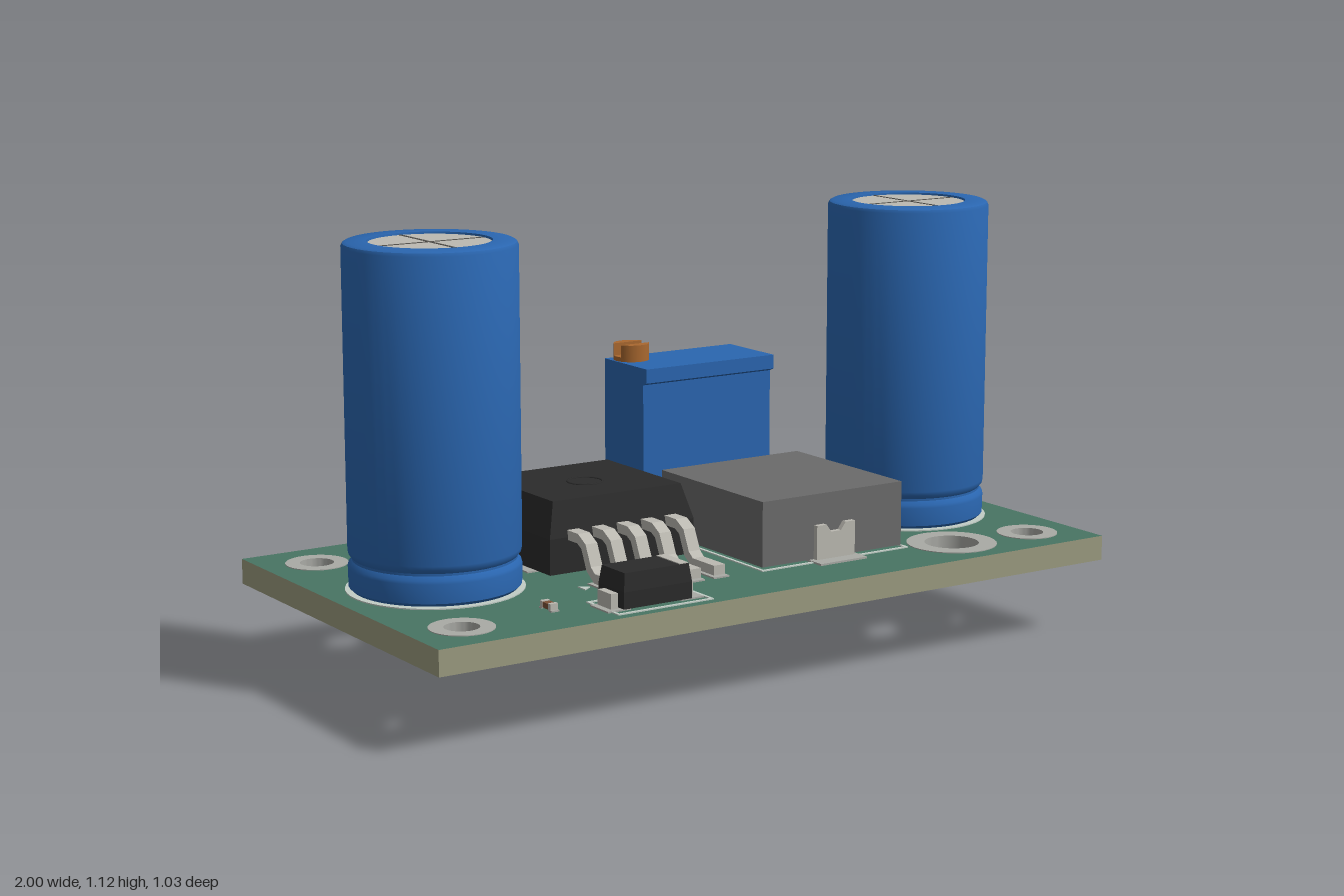
import * as THREE from 'three';
import { toCreasedNormals } from 'three/addons/utils/BufferGeometryUtils.js';

const mat = (color, side = THREE.FrontSide) =>
  new THREE.MeshStandardMaterial({ color, side });
const GREEN = mat(0x487563), EDGE = mat(0x9c9c80), BLUE = mat(0x2a66b0), BLACK = mat(0x2b2b2b);
const METAL = mat(0xbcbab2), PAD = mat(0xa9aaa5, THREE.DoubleSide), SILK = mat(0xc2cdc6);
const GREY = mat(0x6b6b6b), COPPER = mat(0xa9682f), DARK = mat(0x55534e), BROWN = mat(0x7c5238);
const TOP = 0.26, BOTTOM = 0.195;

export function createModel() {
  const model = new THREE.Group();

  const add = (name, geometry, material, parent = model) => {
    const mesh = new THREE.Mesh(geometry, material);
    mesh.name = name;
    parent.add(mesh);
    return mesh;
  };
  const group = (name) => {
    const g = new THREE.Group();
    g.name = name;
    model.add(g);
    return g;
  };
  // Box given by its limits on each axis
  const box = (name, [x0, x1], [y0, y1], [z0, z1], material, parent) => {
    const g = new THREE.BoxGeometry(x1 - x0, y1 - y0, z1 - z0);
    g.translate((x0 + x1) / 2, (y0 + y1) / 2, (z0 + z1) / 2);
    return add(name, g, material, parent);
  };
  // Box whose top face is drawn in by an inset
  const taperedBox = (name, xs, ys, zs, inset, material, parent) => {
    const mesh = box(name, xs, ys, zs, material, parent);
    const p = mesh.geometry.attributes.position;
    const cx = (xs[0] + xs[1]) / 2, cz = (zs[0] + zs[1]) / 2;
    for (let i = 0; i < p.count; i++) {
      if (p.getY(i) < ys[1] - 1e-4) continue;
      p.setX(i, p.getX(i) - Math.sign(p.getX(i) - cx) * inset);
      p.setZ(i, p.getZ(i) - Math.sign(p.getZ(i) - cz) * inset);
    }
    mesh.geometry.computeVertexNormals();
    return mesh;
  };
  const cylinder = (name, r, y0, y1, x, z, material, parent, sides = 24) =>
    add(name, new THREE.CylinderGeometry(r, r, y1 - y0, sides).translate(x, (y0 + y1) / 2, z), material, parent);
  const lathe = (profile, sides = 48) => toCreasedNormals(
    new THREE.LatheGeometry(profile.map(([r, y]) => new THREE.Vector2(r, y)), sides), 0.6);
  const polygon = (pts) => new THREE.Shape(pts.map(([x, y]) => new THREE.Vector2(x, y)));
  // Horizontal slab from an outline drawn as (x, -z)
  const slab = (shape, y0, y1) =>
    new THREE.ExtrudeGeometry(shape, { depth: y1 - y0, bevelEnabled: false, curveSegments: 24 })
      .rotateX(-Math.PI / 2).translate(0, y0, 0);
  // Side profile (z, y) extruded across x
  const sideExtrude = (shape, cx, width) =>
    new THREE.ExtrudeGeometry(shape, { depth: width, bevelEnabled: false })
      .rotateY(-Math.PI / 2).translate(cx + width / 2, 0, 0);
  const circleHole = (x, z, r) => new THREE.Path().absarc(x, -z, r, 0, Math.PI * 2, true);

  // Board with mounting holes and terminal holes: x, z, hole radius, pad radius
  const holes = [[-0.62, -0.35, 0.073, 0.118], [0.62, 0.355, 0.073, 0.118]];
  for (const x of [-0.86, 0.86]) for (const z of [-0.37, 0.375]) holes.push([x, z, 0.045, 0.08]);
  const outline = polygon([[-1, -0.515], [1, -0.515], [1, 0.515], [-1, 0.515]]);
  for (const [x, z, r] of holes) outline.holes.push(circleHole(x, z, r));
  add('circuitBoard', slab(outline, BOTTOM, TOP), [GREEN, EDGE]);
  for (const [x, z, r, R] of holes) {
    const a = BOTTOM - 0.002, b = TOP + 0.002, i = r - 0.002;
    add('platedHole', lathe([[R, a], [i, a], [i, b], [R, b], [R, a]]), PAD).position.set(x, 0, z);
  }

  // Surface printing
  const silk = group('boardMarkings');
  const frame = (x0, x1, z0, z1, t = 0.008) => {
    const s = polygon([[x0, -z1], [x1, -z1], [x1, -z0], [x0, -z0]]);
    s.holes.push(polygon([[x0 + t, -z1 + t], [x0 + t, -z0 - t], [x1 - t, -z0 - t], [x1 - t, -z1 + t]]));
    add('partOutline', slab(s, TOP, TOP + 0.003), SILK, silk);
  };
  frame(0.036, 0.472, -0.45, -0.222);
  frame(0.028, 0.492, -0.165, 0.335);
  frame(-0.5, -0.225, 0.345, 0.49);
  add('pinOneMark', slab(polygon([[-0.44, -0.21], [-0.44, -0.245], [-0.415, -0.2275]]), TOP, TOP + 0.003), SILK, silk);

  // Direction arrow on the underside
  const arrow = (x0, z0, x1, z1) => {
    const g = new THREE.BoxGeometry(Math.hypot(x1 - x0, z1 - z0) + 0.02, 0.003, 0.032);
    g.rotateY(-Math.atan2(z1 - z0, x1 - x0)).translate((x0 + x1) / 2, BOTTOM - 0.0015, (z0 + z1) / 2);
    add('arrowStroke', g, PAD, silk);
  };
  arrow(-0.27, -0.01, 0.31, -0.01);
  for (const s of [-1, 1]) arrow(0.31, -0.01, 0.22, -0.01 + s * 0.075);

  // Through-hole pin with its pad under the board
  const pin = (x, z, y0, r, parent) => {
    cylinder('pin', r, y0, TOP, x, z, METAL, parent, 16);
    cylinder('pinPad', r * 2.4, BOTTOM - 0.002, BOTTOM + 0.01, x, z, PAD, parent);
  };

  // Two tall can capacitors
  for (const x of [-0.727, 0.73]) {
    const cap = group('canCapacitor');
    const z = 0.01;
    add('sleeve', lathe([[0, 0.264], [0.205, 0.264], [0.213, 0.272], [0.214, 0.32], [0.212, 0.328],
      [0.204, 0.338], [0.204, 0.344], [0.212, 0.354], [0.214, 0.364], [0.214, 1.108], [0.21, 1.116],
      [0.202, 1.12], [0.152, 1.12], [0.15, 1.11], [0, 1.11]]), BLUE, cap).position.set(x, 0, z);
    cylinder('canTop', 0.15, 1.1, 1.115, x, z, METAL, cap, 48);
    box('ventGroove', [x - 0.148, x + 0.148], [1.114, 1.116], [z - 0.004, z + 0.004], DARK, cap);
    box('ventGroove', [x - 0.004, x + 0.004], [1.114, 1.116], [z - 0.148, z + 0.148], DARK, cap);
    const ring = new THREE.Shape().absarc(x, -z, 0.222, 0, Math.PI * 2);
    add('outlineRing', slab(ring, TOP, TOP + 0.003), SILK, cap);
    pin(x, z + 0.108, 0.178, 0.013, cap);
    pin(x, z - 0.108, 0.178, 0.013, cap);
  }

  // Power regulator: tab, moulded body, five bent legs
  const reg = group('regulator');
  box('tabPad', [-0.47, -0.01], [TOP, TOP + 0.004], [-0.37, 0.02], PAD, reg);
  add('heatTab', slab(polygon([[-0.45, 0.0], [-0.022, 0.0], [-0.022, 0.325], [-0.045, 0.347],
    [-0.427, 0.347], [-0.45, 0.325]]), 0.266, 0.315), METAL, reg);
  box('bodyLower', [-0.452, -0.022], [0.268, 0.36], [-0.298, 0.1], BLACK, reg);
  taperedBox('bodyUpper', [-0.452, -0.022], [0.36, 0.45], [-0.298, 0.1], 0.024, BLACK, reg);
  add('dimple', new THREE.TorusGeometry(0.045, 0.003, 6, 32).rotateX(Math.PI / 2)
    .translate(-0.237, 0.45, -0.08), BLACK, reg);
  const path = [[0.08, 0.365], [0.145, 0.365], [0.172, 0.35], [0.196, 0.298], [0.222, 0.279], [0.318, 0.279]];
  const offset = (d) => path.map(([z, y], i) => {
    const a = path[Math.max(i - 1, 0)], b = path[Math.min(i + 1, path.length - 1)];
    const l = Math.hypot(b[0] - a[0], b[1] - a[1]);
    return [z - (b[1] - a[1]) / l * d, y + (b[0] - a[0]) / l * d];
  });
  const legShape = polygon([...offset(-0.0125), ...offset(0.0125).reverse()]);
  for (let i = 0; i < 5; i++) {
    const x = -0.382 + i * 0.0727;
    add('leg', sideExtrude(legShape, x, 0.034), METAL, reg);
    box('legPad', [x - 0.023, x + 0.023], [TOP, TOP + 0.004], [0.2, 0.328], PAD, reg);
  }

  // Power inductor with a notched clip at each end
  const coil = group('inductor');
  box('inductorBody', [0.04, 0.48], [0.266, 0.435], [-0.142, 0.318], GREY, coil);
  const clip = polygon([[0.2, 0.266], [0.32, 0.266], [0.32, 0.355], [0.29, 0.355], [0.275, 0.335],
    [0.245, 0.335], [0.23, 0.355], [0.2, 0.355]]);
  for (const z of [-0.156, 0.316]) {
    add('clip', new THREE.ExtrudeGeometry(clip, { depth: 0.016, bevelEnabled: false }).translate(0, 0, z), METAL, coil);
  }
  box('clipPad', [0.187, 0.333], [TOP, TOP + 0.005], [0.27, 0.368], PAD, coil);
  box('clipPad', [0.187, 0.333], [TOP, TOP + 0.005], [-0.195, -0.1], PAD, coil);

  // Trimmer with a slotted screw and three long pins
  const trim = group('trimmer');
  add('trimmerBody', sideExtrude(polygon([[-0.433, 0.265], [-0.243, 0.265], [-0.243, 0.645], [-0.226, 0.652],
    [-0.226, 0.69], [-0.433, 0.69]]), 0.254, 0.412), BLUE, trim);
  cylinder('screwBase', 0.048, 0.685, 0.702, 0.1, -0.381, COPPER, trim, 32);
  const half = Math.asin(0.018 / 0.048);
  for (const turn of [0, Math.PI]) {
    const s = new THREE.Shape().absarc(0, 0, 0.048, turn + half, turn + Math.PI - half);
    add('screwHead', slab(s, 0.7, 0.735).translate(0.1, 0, -0.381), COPPER, trim);
  }
  for (const x of [0.14, 0.25, 0.36]) pin(x, -0.33, 0, 0.01, trim);

  // Diode with a cathode band
  const diode = group('diode');
  box('diodeLower', [-0.475, -0.28], [0.268, 0.31], [0.362, 0.476], BLACK, diode);
  taperedBox('diodeUpper', [-0.475, -0.28], [0.31, 0.355], [0.362, 0.476], 0.006, BLACK, diode);
  box('cathodeBand', [-0.312, -0.287], [0.35, 0.357], [0.369, 0.469], METAL, diode);
  box('terminals', [-0.495, -0.26], [0.265, 0.303], [0.39, 0.45], METAL, diode);
  for (const x of [-0.51, -0.3]) box('pad', [x, x + 0.065], [TOP, TOP + 0.004], [0.38, 0.46], PAD, diode);

  // Small chip parts: centre, half length along x and z, height, body material
  const chip = (name, x, z, hx, hz, h, material) => {
    const g = group(name), alongX = hx > hz;
    const l = alongX ? hx : hz;
    box('chipBody', [x - hx * 0.96, x + hx * 0.96], [0.264, 0.264 + h], [z - hz * 0.96, z + hz * 0.96], material, g);
    for (const s of [-1, 1]) {
      const ends = [s * l * 0.55, s * l].sort((a, b) => a - b);
      const xs = alongX ? ends.map((e) => x + e) : [x - hx, x + hx];
      const zs = alongX ? [z - hz, z + hz] : ends.map((e) => z + e);
      box('chipEnd', xs, [0.262, 0.266 + h], zs, METAL, g);
      const px = alongX ? xs.map((e) => e + s * 0.01) : xs;
      const pz = alongX ? zs : zs.map((e) => e + s * 0.005);
      box('chipPad', px, [TOP, TOP + 0.004], pz, PAD, g);
    }
  };
  chip('chipResistor', -0.05, -0.43, 0.048, 0.026, 0.016, BLACK);
  chip('chipCapacitor', -0.607, 0.35, 0.011, 0.024, 0.014, BROWN);
  chip('chipCapacitor', 0.51, -0.39, 0.011, 0.024, 0.014, BROWN);

  return model;
}
